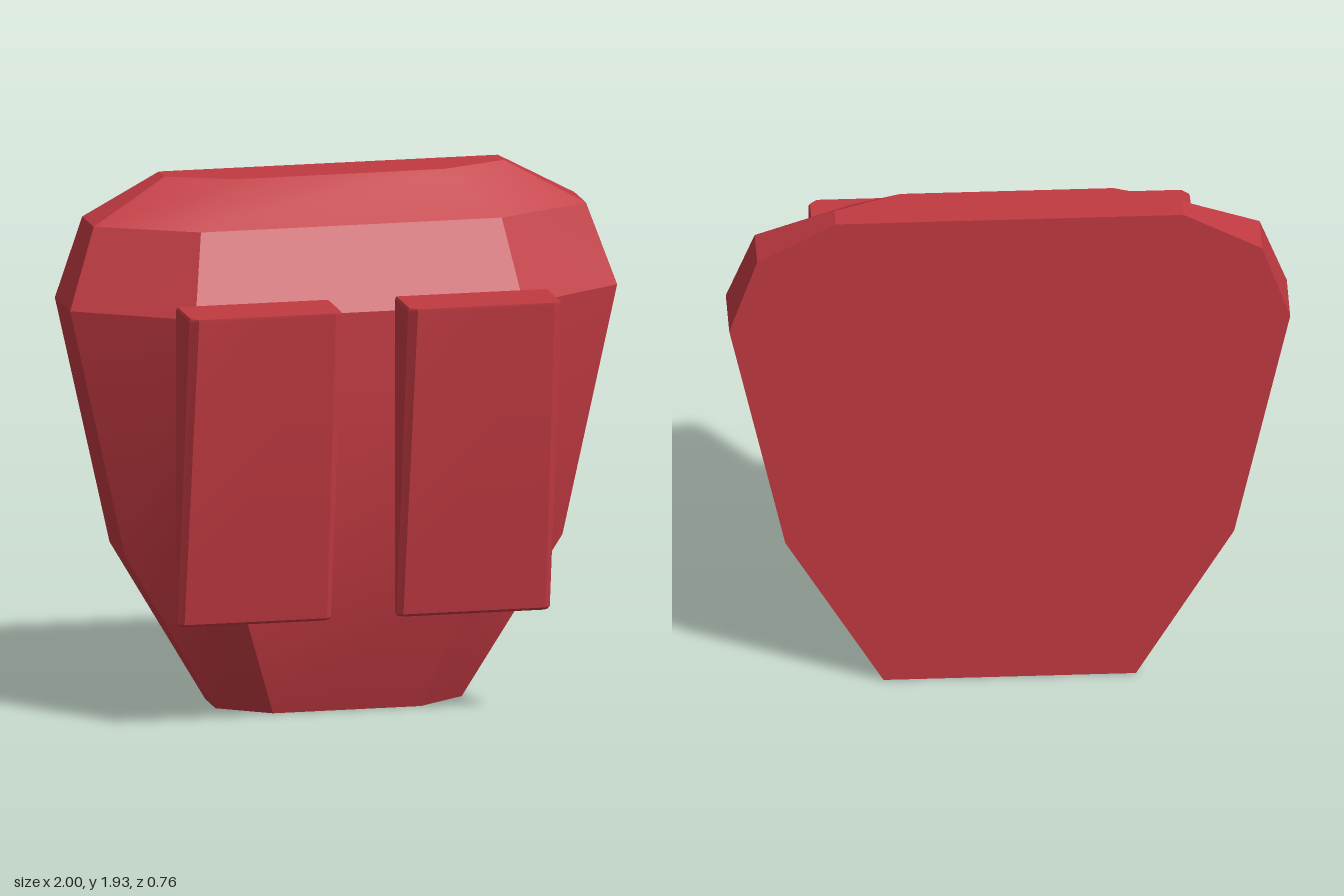
import * as THREE from 'three';
import { toCreasedNormals } from 'three/addons/utils/BufferGeometryUtils.js';

// Lofts chamfered six-point sections, given from bottom to top.
// Each level: [y, half width, half width of front face, side z, front z]
function loft(levels, back) {
  const rings = levels.map(([y, w, f, zs, zf]) =>
    [[-w, back], [-w, zs], [-f, zf], [f, zf], [w, zs], [w, back]].map(([x, z]) => [x, y, z]));
  const pos = [];
  const tri = (a, b, c) => pos.push(...a, ...b, ...c);
  for (let k = 0; k < rings.length - 1; k++) {
    for (let i = 0; i < 6; i++) {
      const j = (i + 1) % 6;
      const a = rings[k][i], b = rings[k][j], c = rings[k + 1][j], d = rings[k + 1][i];
      // mirrored diagonals keep both halves alike
      if (i < 3) { tri(a, b, c); tri(a, c, d); }
      else { tri(a, b, d); tri(b, c, d); }
    }
  }
  const bottom = rings[0], top = rings[rings.length - 1];
  for (let i = 1; i < 5; i++) {
    tri(top[0], top[i], top[i + 1]);
    tri(bottom[0], bottom[i + 1], bottom[i]);
  }
  const geo = new THREE.BufferGeometry();
  geo.setAttribute('position', new THREE.Float32BufferAttribute(pos, 3));
  return toCreasedNormals(geo, 0.36);
}

export function createModel() {
  const group = new THREE.Group();
  const red = new THREE.MeshStandardMaterial({ color: 0xc23a42 });
  red.name = 'red';

  // Faceted main plate with a flat back
  const body = new THREE.Mesh(loft([
    [0, 0.45, 0.27, -0.22, -0.09],
    [0.59, 0.8, 0.47, -0.14, 0.11],
    [1.49, 1, 0.6, -0.14, 0.11],
    [1.78, 0.9, 0.55, -0.2, -0.02],
    [1.93, 0.62, 0.38, -0.29, -0.19],
  ], -0.38), red);
  body.name = 'bodyPlate';
  group.add(body);

  // Two wedge pads floating in front, thicker at the top
  const padGeo = loft([
    [0.39, 0.275, 0.255, 0.165, 0.185],
    [0.4, 0.28, 0.26, 0.175, 0.195],
    [1.54, 0.28, 0.25, 0.355, 0.38],
    [1.55, 0.275, 0.25, 0.355, 0.38],
  ], 0.15);
  for (const [name, side] of [['leftPad', 1], ['rightPad', -1]]) {
    const pad = new THREE.Mesh(padGeo, red);
    pad.name = name;
    pad.position.x = side * 0.4;
    group.add(pad);
  }
  return group;
}
